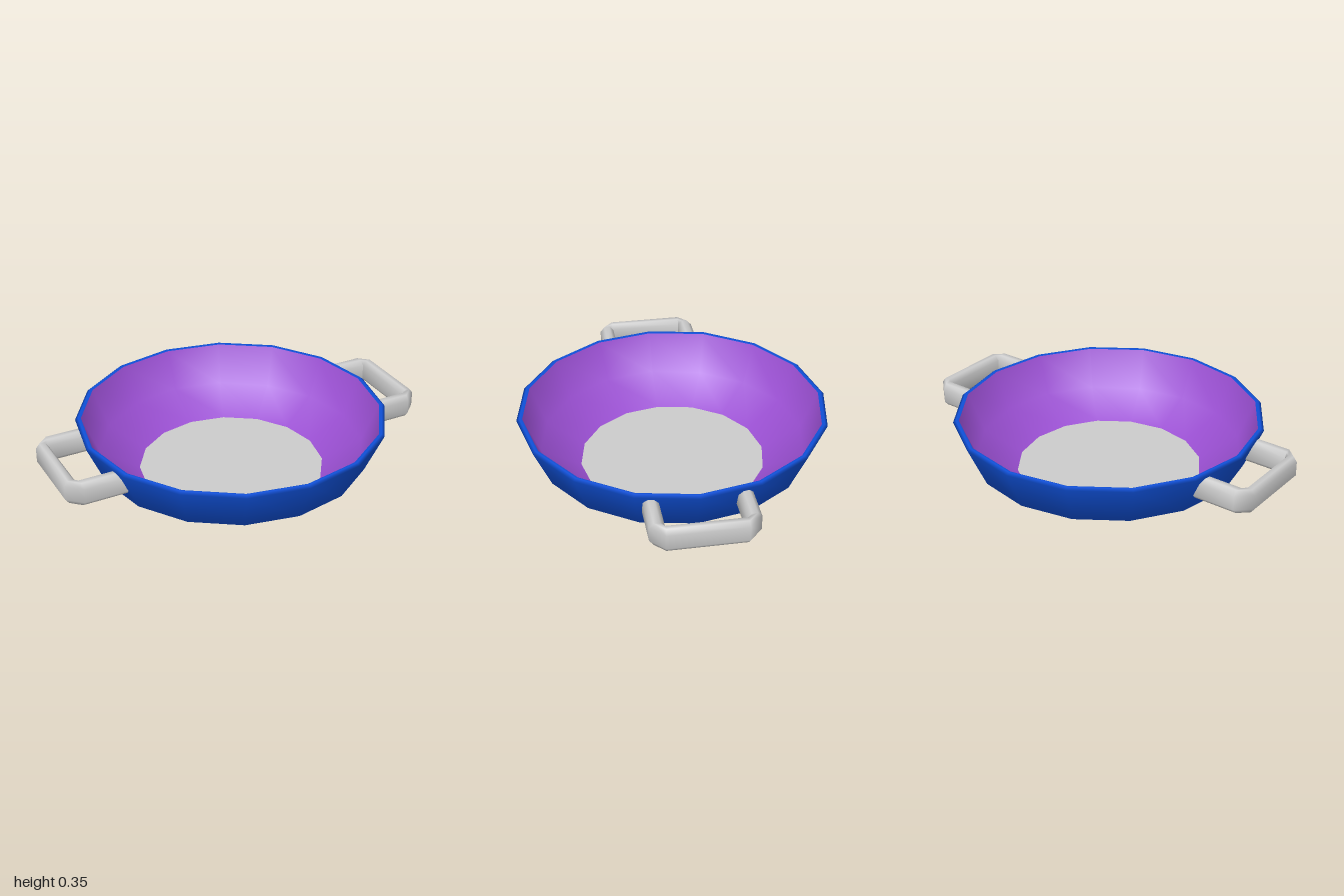
import * as THREE from 'three';

const SIDES = 16;

function paint(color, extra = {}) {
  return new THREE.MeshStandardMaterial({ color, ...extra });
}

function addMesh(parent, name, geometry, material) {
  const mesh = new THREE.Mesh(geometry, material);
  mesh.name = name;
  parent.add(mesh);
  return mesh;
}

function lathe(profile) {
  return new THREE.LatheGeometry(profile.map(([r, y]) => new THREE.Vector2(r, y)), SIDES);
}

// Squared handle with chamfered outer corners: a soft-edged section swept
// between the inner and outer plan outlines, its ends following the bowl wall.
function handleGeometry() {
  const inner = [[0, 0.19], [0.935, 0.19], [0.935, 0.19], [0.935, -0.19], [0.935, -0.19], [0, -0.19]];
  const outer = [[0, 0.265], [0.925, 0.265], [1, 0.195], [1, -0.195], [0.925, -0.265], [0, -0.265]];
  // u runs from the inner outline to the outer one, y is the height
  const section = [
    [0, 0.225], [0.3, 0.2], [0.7, 0.2], [1, 0.225],
    [1, 0.3], [0.7, 0.325], [0.3, 0.325], [0, 0.3],
  ];
  const n = section.length;
  const positions = [];
  const index = [];
  inner.forEach((a, i) => {
    const b = outer[i];
    for (const [u, y] of section) {
      const z = a[1] + (b[1] - a[1]) * u;
      const isEnd = i === 0 || i === inner.length - 1;
      const wallX = 0.71 + (y - 0.125) * 0.42 - 0.2 * Math.abs(z) - 0.01;
      positions.push(isEnd ? wallX : a[0] + (b[0] - a[0]) * u, y, z);
    }
  });
  for (let i = 0; i < inner.length - 1; i++) {
    for (let j = 0; j < n; j++) {
      const p = i * n + j;
      const q = i * n + ((j + 1) % n);
      index.push(p, p + n, q, q, p + n, q + n);
    }
  }
  const geometry = new THREE.BufferGeometry();
  geometry.setAttribute('position', new THREE.Float32BufferAttribute(positions, 3));
  geometry.setIndex(index);
  geometry.computeVertexNormals();
  return geometry;
}

export function createModel() {
  const model = new THREE.Group();
  model.name = 'pan';

  // Outer shell with the rolled rim
  const shell = [[0, 0], [0.5, 0], [0.71, 0.125], [0.805, 0.34], [0.79, 0.352], [0.775, 0.348]];
  addMesh(model, 'outerShell', lathe(shell), paint(0x0f50d8));

  // Coloured inner wall
  const lining = [[0.775, 0.348], [0.69, 0.145], [0.485, 0.035]];
  addMesh(model, 'innerWall', lathe(lining), paint(0x9a4fd2));

  // Flat cooking surface
  const floor = addMesh(model, 'floor', new THREE.CircleGeometry(0.485, SIDES), paint(0xcccccc));
  floor.rotation.x = -Math.PI / 2;
  floor.position.y = 0.035;

  // Pair of side handles
  const grey = paint(0xcccccc, { side: THREE.DoubleSide });
  const geometry = handleGeometry();
  addMesh(model, 'leftHandle', geometry, grey);
  addMesh(model, 'rightHandle', geometry, grey).rotation.y = Math.PI;

  return model;
}
